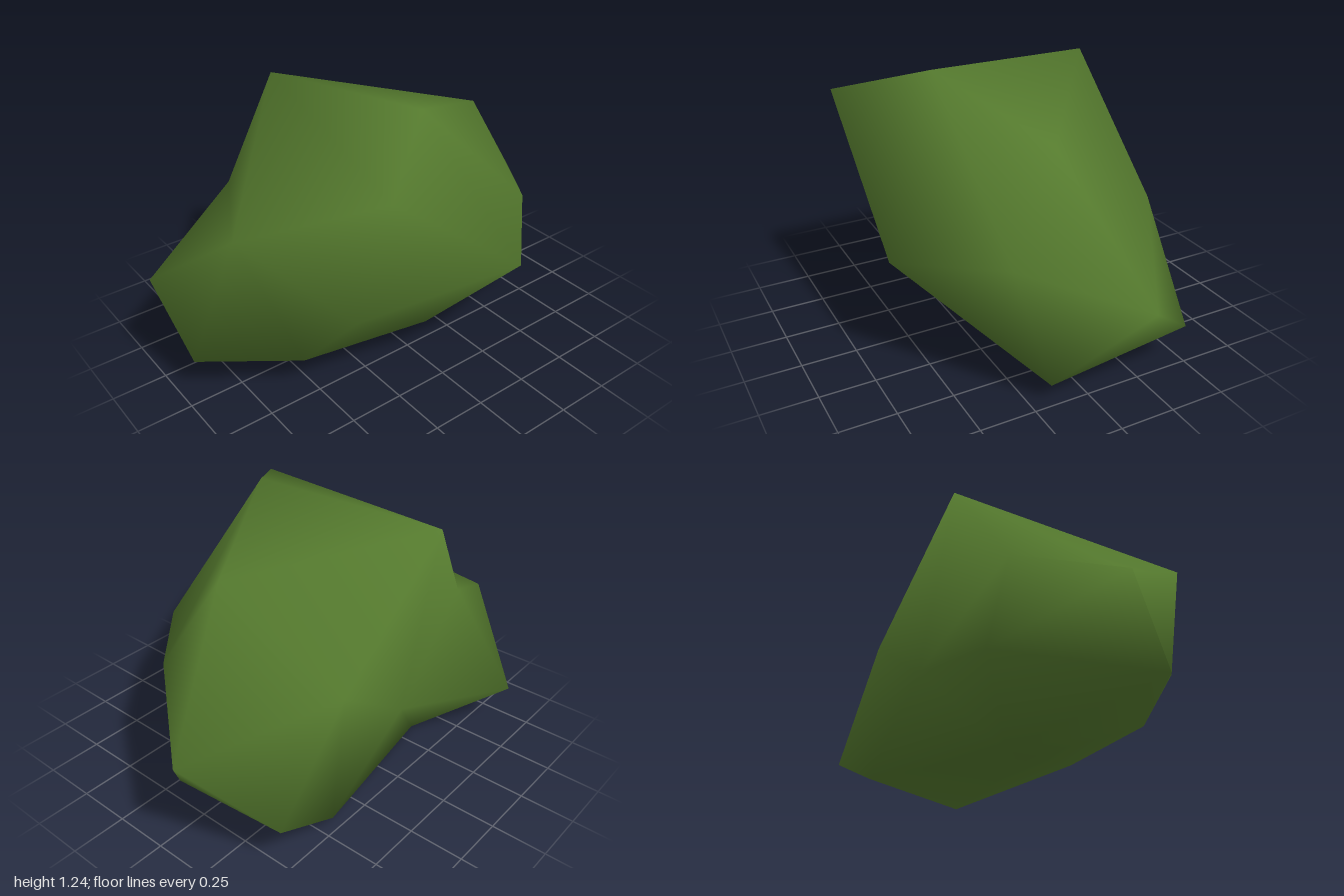
import * as THREE from 'three';

// Corner points of the lumpy shrub
const points = {
  // crown
  A: [-0.02, 1.24, 0.33], B: [-0.42, 1.09, 0.645], C: [-0.2, 1.18, -0.51], F: [0.53, 1.04, 0.055],
  // front and left flank
  D: [0.27, 0.56, 0.665], H: [0.65, 0.61, 0.3], E: [1, 0.485, -0.135], G: [0.73, 0.085, 0.165],
  I: [0.04, 0.17, 0.33], W: [-0.47, 0.49, 0.49],
  // right lobe
  S: [-0.73, 0.72, -0.01], L: [-1, 0.515, -0.265], K: [-0.945, 0.19, -0.04], J: [-0.55, 0.16, 0.21],
  // back
  T: [-0.5, 0.75, -0.435], M: [-0.68, 0.205, -0.665], U: [0.02, 0.4, -0.51],
  Q: [0.41, 0.66, -0.5], N: [0.77, 0.2, -0.475],
  // underside
  O: [0.45, 0.055, -0.48], P: [-0.35, 0, -0.33], Z: [-0.05, 0.125, 0.03],
};

// Each fan is a hub followed by its rim, counter-clockwise from outside
const fans = [
  'ABDHFCB',    // crown
  'SBCTLKJWB',  // right lobe
  'GDIZONEHD',  // left foot
  'QCFENOUC',   // back
  'PMUOZJKM',   // underside
  'WJIDB',      // front right
  'MKLTU',      // rear spur
  'CUT', 'FHE', 'IJZ', // closing gaps
];

function lumpGeometry() {
  const names = Object.keys(points);
  const index = [];
  for (const fan of fans) {
    const ids = [...fan].map((n) => names.indexOf(n));
    for (let i = 1; i < ids.length - 1; i++) index.push(ids[0], ids[i], ids[i + 1]);
  }
  const geometry = new THREE.BufferGeometry();
  geometry.setAttribute('position', new THREE.Float32BufferAttribute(Object.values(points).flat(), 3));
  geometry.setIndex(index);
  geometry.computeVertexNormals(); // smooth across all faces
  return geometry;
}

export function createModel() {
  const leafGreen = new THREE.MeshStandardMaterial({ color: 0x557a2e });
  leafGreen.name = 'leafGreen';

  const group = new THREE.Group();
  group.name = 'bush';
  const foliage = new THREE.Mesh(lumpGeometry(), leafGreen);
  foliage.name = 'foliage';
  group.add(foliage);
  return group;
}
